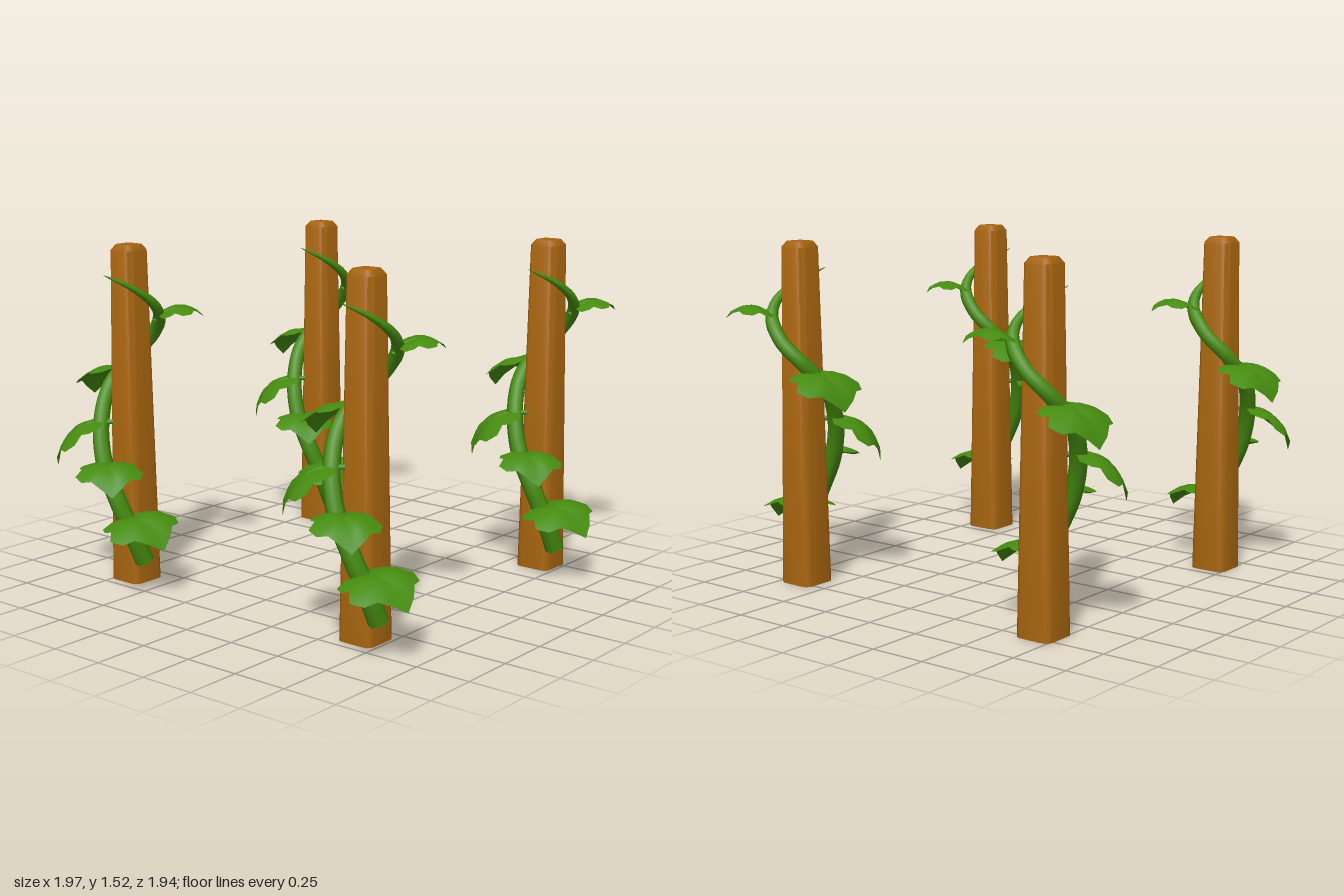
import * as THREE from 'three';
import { toCreasedNormals } from 'three/addons/utils/BufferGeometryUtils.js';

const V = (x, y, z) => new THREE.Vector3(x, y, z);

// Joins rings of equal point count with quads, closing each ring
function loft(rings) {
  const n = rings[0].length, index = [];
  for (let r = 0; r < rings.length - 1; r++) {
    for (let i = 0; i < n; i++) {
      const a = r * n + i, b = r * n + (i + 1) % n;
      index.push(a, a + n, b, b, a + n, b + n);
    }
  }
  const geo = new THREE.BufferGeometry().setFromPoints(rings.flat());
  geo.setIndex(index);
  geo.computeVertexNormals();
  return geo;
}

// Tapered square post with rounded corners and a chamfered top
function postGeometry() {
  const ring = (half, y, corner = 0.03) => {
    const pts = [], c = half - corner;
    for (let k = 0; k < 4; k++) {
      for (let j = 0; j <= 3; j++) {
        const a = -(k * 3 + j) * Math.PI / 6;
        const m = -(k + 0.5) * Math.PI / 2;
        pts.push(V(Math.sign(Math.cos(m)) * c + Math.cos(a) * corner, y,
          Math.sign(Math.sin(m)) * c + Math.sin(a) * corner));
      }
    }
    return pts;
  };
  const centre = y => Array.from({ length: 16 }, () => V(0, y, 0));
  const geo = loft([centre(0), ring(0.085, 0), ring(0.065, 1.5), ring(0.046, 1.525, 0.02), centre(1.525)]);
  // Rings run clockwise from above, so the faces are turned to look outward
  const idx = geo.index.array;
  for (let i = 0; i < idx.length; i += 3) [idx[i + 1], idx[i + 2]] = [idx[i + 2], idx[i + 1]];
  geo.computeVertexNormals();
  const p = geo.attributes.position, t = [0, 1, 2].map(k => V().fromBufferAttribute(p, idx[16 * 6 + k]));
  const out = t[1].clone().sub(t[0]).cross(t[2].clone().sub(t[0]));
  if (out.dot(V(t[0].x, 0, t[0].z)) < 0) {
    for (let i = 0; i < idx.length; i += 3) [idx[i + 1], idx[i + 2]] = [idx[i + 2], idx[i + 1]];
  }
  return toCreasedNormals(geo, 0.7);
}

// Climbing stem path, spiralling once around the post
const vinePath = new THREE.CatmullRomCurve3([
  V(0.105, 0.11, 0.05), V(0.088, 0.25, 0.105), V(0.04, 0.4, 0.145), V(-0.03, 0.55, 0.15),
  V(-0.085, 0.72, 0.115), V(-0.115, 0.88, 0.03), V(-0.09, 1.0, -0.085), V(0, 1.1, -0.128),
  V(0.08, 1.2, -0.1), V(0.1, 1.27, -0.04), V(0.07, 1.34, 0.05), V(-0.01, 1.4, 0.145),
]);
const vineRadius = t => (t < 0.75 ? 0.044 - 0.018 * t : 0.0305 * Math.pow((1 - t) / 0.25, 0.8) + 0.001);

// Tube whose rings shrink toward the tip
function vineGeometry() {
  const steps = 56, sides = 8;
  const geo = new THREE.TubeGeometry(vinePath, steps, 1, sides);
  const p = geo.attributes.position, v = V();
  for (let i = 0; i < p.count; i++) {
    const t = Math.floor(i / (sides + 1)) / steps, c = vinePath.getPointAt(t);
    v.fromBufferAttribute(p, i).sub(c).multiplyScalar(vineRadius(t)).add(c);
    p.setXYZ(i, v.x, v.y, v.z);
  }
  return geo;
}

// Half outline of a lobed leaf: along, across (in leaf lengths)
const halfLeaf = [[0.06, 0.06], [-0.02, 0.24], [0.04, 0.46], [0.2, 0.54], [0.3, 0.5],
  [0.46, 0.63], [0.66, 0.54], [0.72, 0.36], [0.88, 0.2]];
const outline = [[0.1, 0], ...halfLeaf, [1, 0], ...halfLeaf.slice().reverse().map(([u, v]) => [u, -v])];

// Arched leaf blade running from base to tip, sides drooping
function leafGeometry(base, tip, width, roll) {
  const along = tip.clone().sub(base), size = along.length();
  along.normalize();
  const side = along.clone().cross(V(0, 1, 0)).normalize().applyAxisAngle(along, roll);
  const up = side.clone().cross(along);
  const place = (u, v) => {
    const h = 0.85 * u * (1 - u) - 0.45 * v * v - 0.05 * Math.exp(-60 * v * v);
    return base.clone().addScaledVector(along, u * size)
      .addScaledVector(side, v * size * width).addScaledVector(up, h * size);
  };
  const rings = [0.01, 0.35, 0.7, 1].map(k => outline.map(([u, v]) => place(0.3 + (u - 0.3) * k, v * k)));
  const stalk = new THREE.CatmullRomCurve3([-0.1, 0.06, 0.2, 0.35].map(u => place(u, 0).addScaledVector(up, -0.006)));
  return { blade: loft(rings), stalk: new THREE.TubeGeometry(stalk, 6, 0.011, 6) };
}

// Base, tip, relative width and roll of each leaf
const leaves = [
  [V(0.07, 0.33, 0.13), V(0.335, 0.235, 0.155), 1.0, 0.15],
  [V(-0.01, 0.575, 0.155), V(0.165, 0.47, 0.295), 0.95, 0],
  [V(-0.08, 0.75, 0.12), V(-0.235, 0.55, 0.255), 0.85, 0],
  [V(-0.105, 0.97, -0.05), V(-0.32, 0.82, -0.065), 1.08, 0],
  [V(0.085, 1.215, -0.095), V(0.21, 1.205, -0.25), 0.9, 0],
];

export function createModel() {
  const wood = new THREE.MeshStandardMaterial({ color: 0xa8650f });
  wood.name = 'wood';
  const green = new THREE.MeshStandardMaterial({ color: 0x468c10, side: THREE.DoubleSide });
  green.name = 'leafGreen';

  const plant = new THREE.Group();
  const add = (name, geo, mat) => {
    const mesh = new THREE.Mesh(geo, mat);
    mesh.name = name;
    plant.add(mesh);
    return mesh;
  };
  add('post', postGeometry(), wood);
  add('vine', vineGeometry(), green);

  // Flat cut at the foot of the vine
  const cut = add('vineFoot', new THREE.CircleGeometry(vineRadius(0), 8), green);
  cut.position.copy(vinePath.getPointAt(0));
  cut.lookAt(cut.position.clone().sub(vinePath.getTangentAt(0)));

  leaves.forEach((spec, i) => {
    const { blade, stalk } = leafGeometry(...spec);
    add('leaf' + (i + 1), blade, green);
    add('leafStalk' + (i + 1), stalk, green);
  });

  // Four identical plants in a square
  const model = new THREE.Group();
  model.name = 'climbingPlants';
  for (const x of [-0.675, 0.65]) {
    for (const z of [-0.705, 0.625]) {
      const copy = plant.clone();
      copy.name = 'stakedPlant';
      copy.position.set(x, 0, z);
      model.add(copy);
    }
  }
  return model;
}
